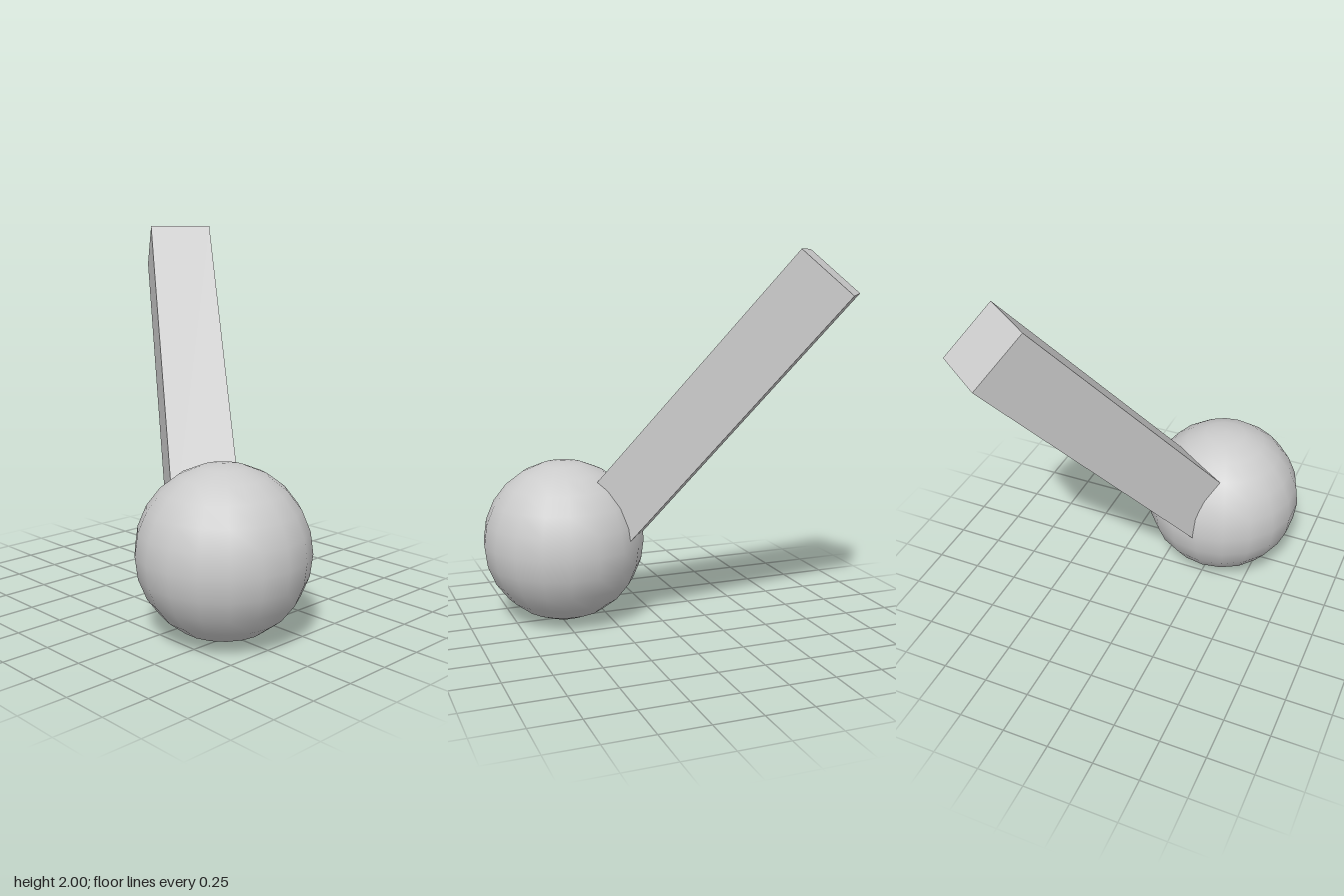
import * as THREE from 'three';

export function createModel() {
  const group = new THREE.Group();
  const deg = THREE.MathUtils.degToRad;

  // Round ball resting on the ground
  const ball = new THREE.Mesh(
    new THREE.SphereGeometry(0.4375, 18, 12),
    new THREE.MeshStandardMaterial({ color: 0xcccccc })
  );
  ball.name = 'ball';
  ball.rotation.y = Math.PI / 2;
  ball.position.set(-0.28, 0.4375, 0.473);
  group.add(ball);

  // Square bar leaning back and to the left, its lower end sunk into the ball
  const bar = new THREE.Mesh(
    new THREE.BoxGeometry(0.34, 1.9, 0.34),
    new THREE.MeshStandardMaterial({ color: 0xcccccc, flatShading: true })
  );
  bar.name = 'bar';
  bar.rotation.set(deg(-40.9), deg(-36), 0, 'YXZ');
  bar.position.set(0.127, 1.17, -0.202);
  group.add(bar);

  return group;
}
